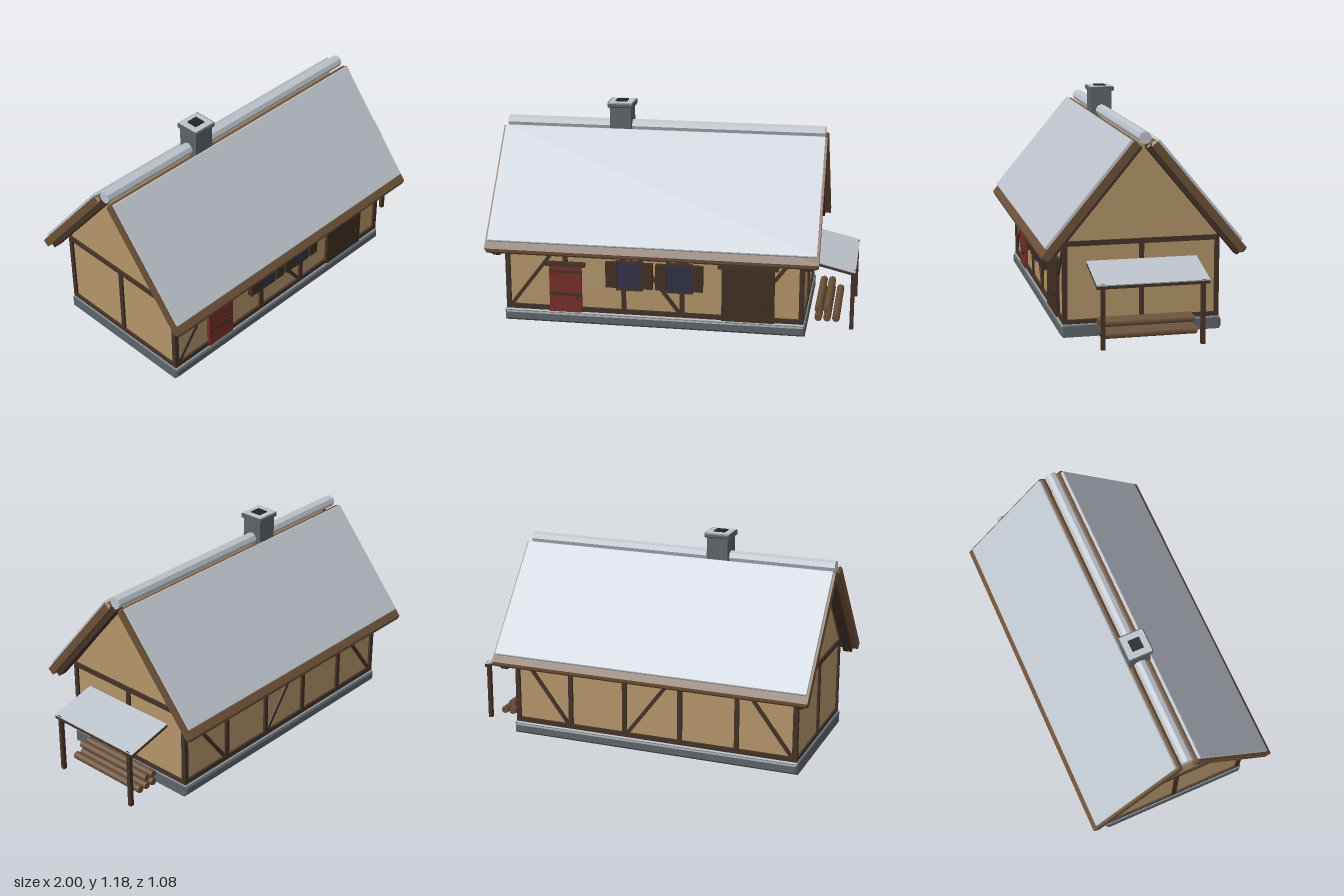
import * as THREE from 'three';

const mat = (name, color) => Object.assign(new THREE.MeshStandardMaterial({ color }), { name });

export function createModel() {
  const model = new THREE.Group();
  model.name = 'cottage';
  const plaster = mat('plaster', 0xb39469);
  const timber = mat('darkTimber', 0x433227);
  const wood = mat('roofWood', 0x6b5037);
  const snow = mat('paleRoofing', 0xbdc3cb);
  const stone = mat('stone', 0x5c6468);
  const paleStone = mat('paleStone', 0x949ca1);
  const red = mat('redPaint', 0x782d27);
  const doorWood = mat('doorWood', 0x412f22);
  const glass = mat('glass', 0x30304a);
  const black = mat('iron', 0x24222a);

  const add = (name, geo, m, x = 0, y = 0, z = 0, parent = model) => {
    const mesh = new THREE.Mesh(geo, m);
    mesh.name = name;
    mesh.position.set(x, y, z);
    parent.add(mesh);
    return mesh;
  };
  // Box given by its limits on each axis
  const box = (name, m, x0, x1, y0, y1, z0, z1, parent) =>
    add(name, new THREE.BoxGeometry(x1 - x0, y1 - y0, z1 - z0), m,
      (x0 + x1) / 2, (y0 + y1) / 2, (z0 + z1) / 2, parent);
  // Box with chamfered edges
  const chamferBox = (w, h, d, b) => {
    const s = new THREE.Shape();
    const x = w / 2 - b, y = h / 2 - b;
    s.moveTo(-x, -y).lineTo(x, -y).lineTo(x, y).lineTo(-x, y).closePath();
    return new THREE.ExtrudeGeometry(s, {
      depth: d - 2 * b, bevelEnabled: true, bevelThickness: b, bevelSize: b, bevelSegments: 1,
    }).translate(0, 0, b - d / 2);
  };

  const cx = -0.0925; // centre of the house along x

  // Plinth with a pale ledge
  add('plinth', chamferBox(1.67, 0.06, 0.86, 0.012), stone, cx, 0.03, 0);
  add('plinthLedge', chamferBox(1.66, 0.016, 0.85, 0.006), paleStone, cx, 0.06, 0);

  // Walls and gables in one pentagonal prism
  const outline = new THREE.Shape();
  outline.moveTo(-0.405, 0.06).lineTo(0.405, 0.06).lineTo(0.405, 0.51)
    .lineTo(0, 1.01).lineTo(-0.405, 0.51).closePath();
  add('walls', new THREE.ExtrudeGeometry(outline, { depth: 1.63, bevelEnabled: false })
    .translate(0, 0, -0.815).rotateY(Math.PI / 2), plaster, cx);

  // Timber framing of the two long walls
  for (const s of [1, -1]) {
    const side = new THREE.Group();
    side.name = s > 0 ? 'frontFraming' : 'backFraming';
    model.add(side);
    const z0 = s > 0 ? 0.395 : -0.418, z1 = s > 0 ? 0.418 : -0.395;
    box('sill', timber, -0.915, 0.73, 0.068, 0.094, z0, z1, side);
    box('topPlate', timber, -0.915, 0.73, 0.475, 0.5, z0, z1, side);
    for (let i = 0; i < 6; i++) {
      const x = -0.905 + i * 0.325;
      box('post', timber, x - 0.0125, x + 0.0125, 0.07, 0.49, z0, z1, side);
    }
    [[-0.89, 1], [-0.24, -1], [0.41, 1]].forEach(([x, dir]) => {
      const w = 0.295, h = 0.39;
      add('brace', new THREE.BoxGeometry(0.02, Math.hypot(w, h), 0.015), timber,
        x + w / 2, 0.285, s * 0.407, side).rotation.z = -dir * Math.atan2(w, h);
    });
  }

  // Timber framing of the gable ends
  for (const [name, x0, x1] of [['leftGableFraming', 0.715, 0.734], ['rightGableFraming', -0.919, -0.9]]) {
    const end = new THREE.Group();
    end.name = name;
    model.add(end);
    box('sill', timber, x0, x1, 0.068, 0.09, -0.415, 0.415, end);
    box('tieBeam', timber, x0, x1, 0.48, 0.506, -0.415, 0.415, end);
    for (const z of [-0.405, 0, 0.405]) box('post', timber, x0, x1, 0.07, 0.49, z - 0.0125, z + 0.0125, end);
  }

  // Two roof slopes: local z runs down the slope, local y points outward
  for (const s of [1, -1]) {
    const half = new THREE.Group();
    half.name = s > 0 ? 'frontRoof' : 'backRoof';
    half.position.x = cx;
    half.rotation.y = s > 0 ? 0 : Math.PI;
    const slope = new THREE.Group();
    slope.name = 'slope';
    slope.position.y = 1;
    slope.rotation.x = 0.876;
    half.add(slope);
    model.add(half);
    add('roofBoards', chamferBox(1.815, 0.042, 0.77, 0.012), wood, 0, 0.042, 0.395, slope);
    add('roofCover', chamferBox(1.79, 0.02, 0.705, 0.004), snow, 0, 0.067, 0.372, slope);
    for (const x of [-0.85, 0.85])
      add('gableRafter', chamferBox(0.05, 0.032, 0.765, 0.008), timber, x, 0.014, 0.397, slope);
  }
  add('ridgePole', new THREE.CylinderGeometry(0.034, 0.034, 1.785, 8).toNonIndexed()
    .rotateZ(Math.PI / 2), snow, cx, 1.04, 0).geometry.computeVertexNormals();

  // Chimney
  const chimney = new THREE.Group();
  chimney.name = 'chimney';
  chimney.position.x = -0.334;
  model.add(chimney);
  box('shaft', stone, -0.06, 0.06, 0.9, 1.155, -0.06, 0.06, chimney);
  add('cap', chamferBox(0.144, 0.026, 0.144, 0.006), stone, 0, 1.163, 0, chimney);
  box('capTop', snow, -0.066, 0.066, 1.17, 1.178, -0.066, 0.066, chimney);
  box('flue', black, -0.032, 0.032, 1.17, 1.183, -0.032, 0.032, chimney);

  // Front doors
  const knob = (x, y) => add('knob', new THREE.SphereGeometry(0.009, 8, 6), black, x, y, 0.431);
  box('redDoor', red, -0.67, -0.49, 0.065, 0.335, 0.4, 0.424);
  for (const y of [0.17, 0.3]) box('doorBand', timber, -0.668, -0.492, y - 0.008, y + 0.008, 0.42, 0.427);
  box('redDoorLintel', timber, -0.69, -0.468, 0.332, 0.354, 0.4, 0.435);
  knob(-0.515, 0.16);
  box('wideDoor', doorWood, 0.287, 0.575, 0.065, 0.368, 0.4, 0.424);
  box('wideDoorLintel', timber, 0.267, 0.595, 0.365, 0.386, 0.4, 0.435);
  knob(0.532, 0.175);

  // Shuttered windows
  for (const x of [-0.222, 0.055]) {
    const win = new THREE.Group();
    win.name = 'window';
    win.position.x = x;
    model.add(win);
    box('frame', timber, -0.074, 0.074, 0.207, 0.378, 0.4, 0.42, win);
    for (const s of [-1, 1]) {
      box('pane', glass, s * 0.036 - 0.031, s * 0.036 + 0.031, 0.222, 0.366, 0.416, 0.424, win);
      box('shutter', doorWood, s * 0.1 - 0.03, s * 0.1 + 0.03, 0.225, 0.37, 0.405, 0.433, win);
    }
  }

  // Lean-to on the gable wall
  const shed = new THREE.Group();
  shed.name = 'leanTo';
  model.add(shed);
  const roof = new THREE.Group();
  roof.name = 'leanToRoof';
  roof.position.set(0.865, 0.362, 0);
  roof.rotation.z = -0.235;
  shed.add(roof);
  box('boards', timber, -0.135, 0.135, -0.012, 0.002, -0.293, 0.293, roof);
  box('cover', snow, -0.135, 0.137, 0.002, 0.008, -0.293, 0.293, roof);
  box('edgeBeam', timber, 0.975, 0.998, 0.316, 0.336, -0.293, 0.293, shed);
  for (const z of [-0.26, 0.26]) box('leanToPost', timber, 0.975, 0.997, 0, 0.34, z - 0.011, z + 0.011, shed);

  // Stacked firewood
  [[0.803, 0.05], [0.851, 0.05], [0.9, 0.05], [0.803, 0.098], [0.851, 0.098]].forEach(([x, y]) => {
    add('log', new THREE.CylinderGeometry(0.021, 0.021, 0.5, 8).rotateX(Math.PI / 2), wood, x, y, 0, shed);
  });

  return model;
}
